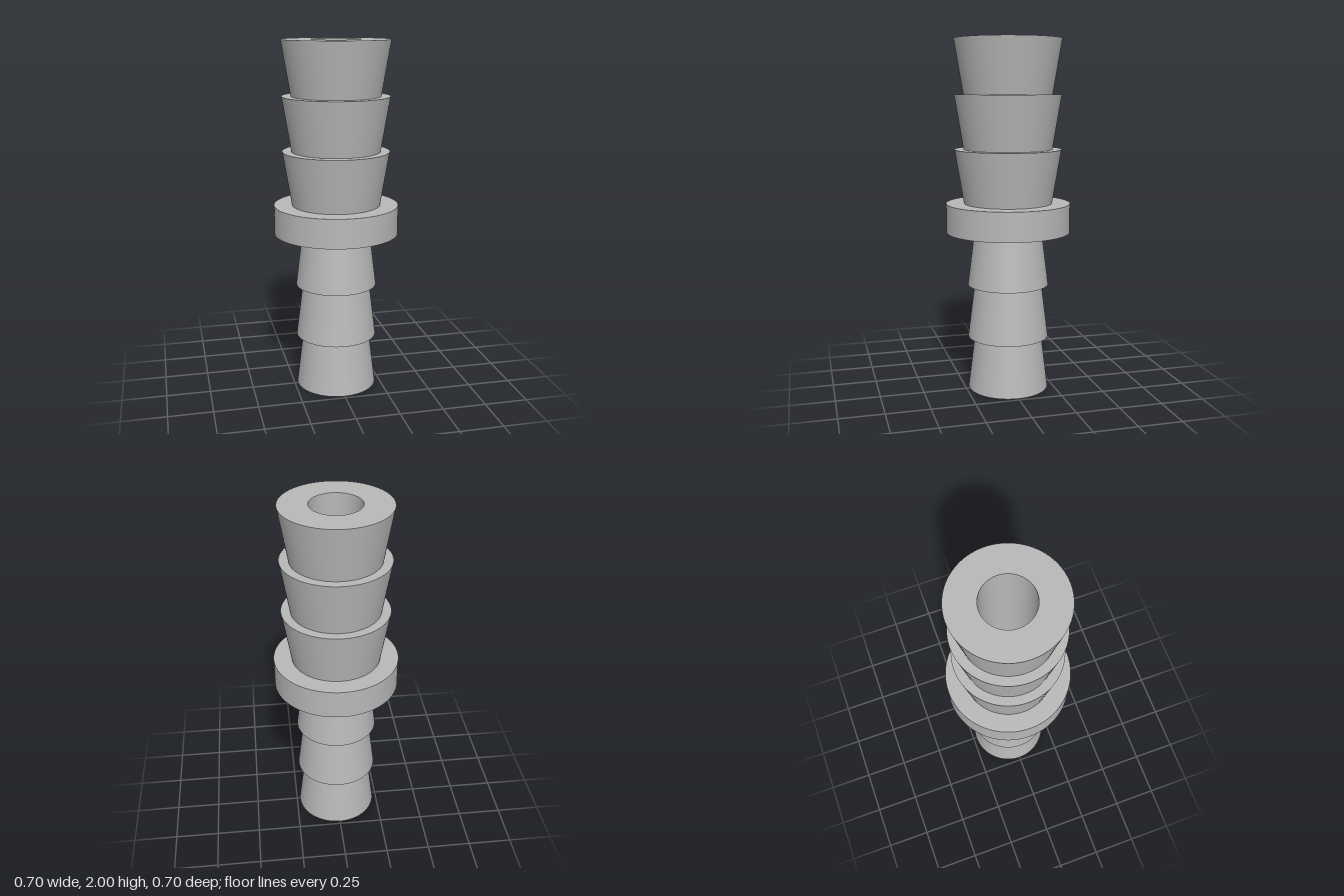
import * as THREE from 'three';
import { mergeGeometries } from 'three/addons/utils/BufferGeometryUtils.js';

const SIDES = 96;
const BORE = 0.141, COLLAR = 0.352;
const LOW_NECK = 0.193, LOW_RIM = 0.231;
const UP_NECK = 0.25, UP_RIM = 0.301;
const COLLAR_BOTTOM = 0.92, COLLAR_TOP = 1.085;

export function createModel() {
  const group = new THREE.Group();
  const grey = new THREE.MeshStandardMaterial({ color: 0xb8b8b8 });
  grey.name = 'grey';

  // Revolve each profile segment on its own: smooth around, sharp at the edges
  function addRing(name, profile) {
    const bands = [];
    for (let i = 0; i < profile.length - 1; i++) {
      const ends = [profile[i], profile[i + 1]].map(([r, y]) => new THREE.Vector2(r, y));
      bands.push(new THREE.LatheGeometry(ends, SIDES));
    }
    const mesh = new THREE.Mesh(mergeGeometries(bands), grey);
    mesh.name = name;
    group.add(mesh);
  }

  // Three lower barbs, flaring downwards, each with its underside
  const lowStep = COLLAR_BOTTOM / 3;
  for (let i = 0; i < 3; i++) {
    const y = i * lowStep;
    addRing('lowerBarb' + (i + 1), [[i ? LOW_NECK : BORE, y], [LOW_RIM, y], [LOW_NECK, y + lowStep]]);
  }

  // Collar between the two hose ends
  addRing('collar', [
    [LOW_NECK, COLLAR_BOTTOM], [COLLAR, COLLAR_BOTTOM], [COLLAR, COLLAR_TOP], [UP_NECK, COLLAR_TOP],
  ]);

  // Three wider upper barbs, flaring upwards, each with its top shoulder
  const upStep = (2 - COLLAR_TOP) / 3;
  for (let i = 0; i < 3; i++) {
    const y = COLLAR_TOP + i * upStep, top = y + upStep;
    addRing('upperBarb' + (i + 1), [[UP_NECK, y], [UP_RIM, top], [i < 2 ? UP_NECK : BORE, top]]);
  }

  // Straight bore through the whole length, facing inwards
  addRing('bore', [[BORE, 2], [BORE, 0]]);

  return group;
}
